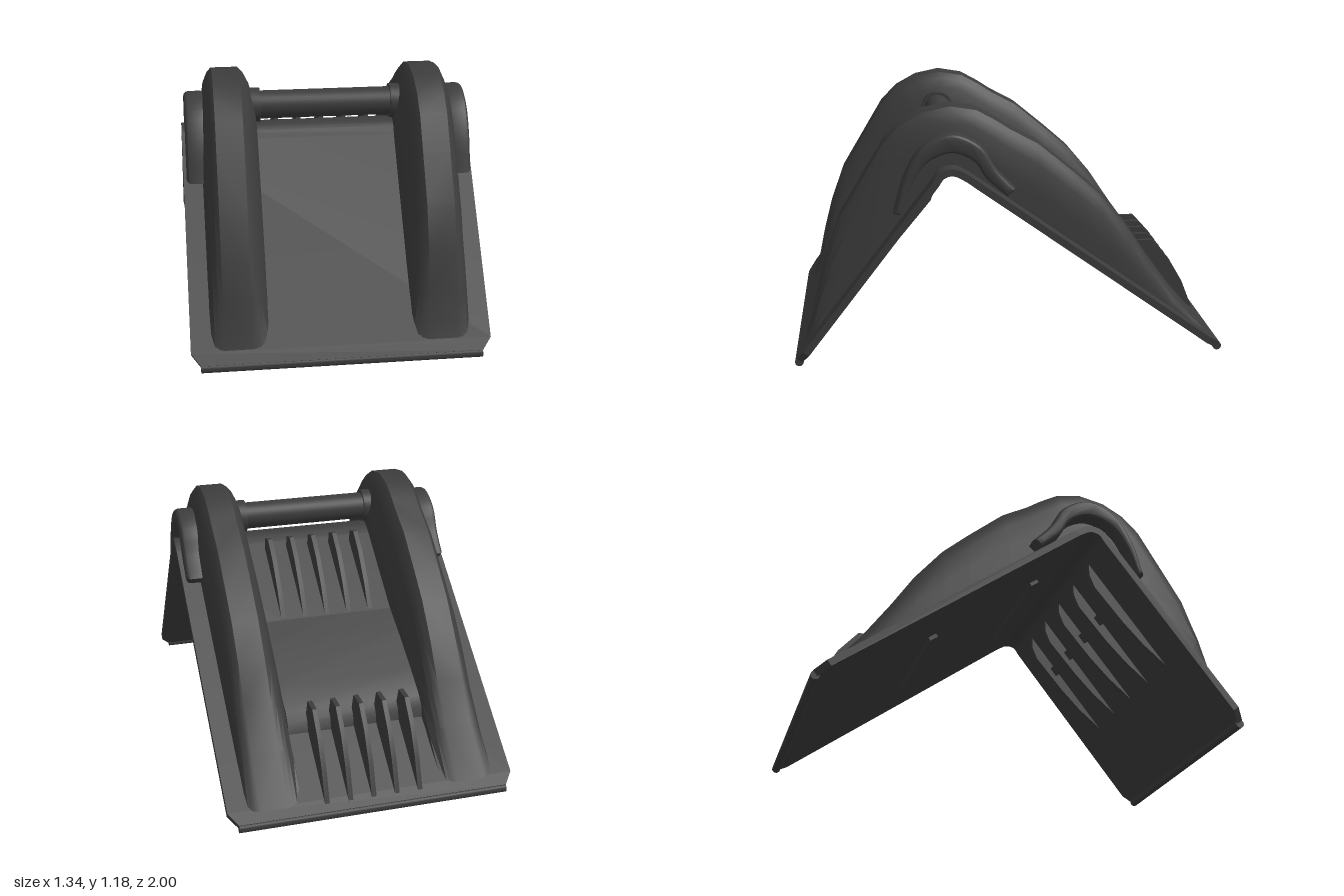
import * as THREE from 'three';
import { toCreasedNormals } from 'three/addons/utils/BufferGeometryUtils.js';

const plastic = new THREE.MeshStandardMaterial({ color: 0x3c3c3c });
plastic.name = 'charcoal plastic';

// Skins a list of rings (arrays of [x, y, z]) and caps both ends
function loft(rings, crease = 0.5) {
  const n = rings[0].length, pos = rings.flat(2), idx = [];
  for (let i = 0; i < rings.length - 1; i++) {
    for (let j = 0; j < n; j++) {
      const k = (j + 1) % n, a = i * n, b = a + n;
      idx.push(a + j, a + k, b + k, a + j, b + k, b + j);
    }
  }
  const last = (rings.length - 1) * n;
  for (let j = 1; j < n - 1; j++) {
    idx.push(0, j + 1, j);
    idx.push(last, last + j, last + j + 1);
  }
  // Signed volume tells whether the faces point outwards
  let volume = 0;
  const point = (i) => new THREE.Vector3().fromArray(pos, i * 3);
  for (let i = 0; i < idx.length; i += 3) {
    volume += point(idx[i]).dot(point(idx[i + 1]).cross(point(idx[i + 2])));
  }
  if (volume < 0) idx.reverse();
  const g = new THREE.BufferGeometry();
  g.setAttribute('position', new THREE.Float32BufferAttribute(pos, 3));
  g.setIndex(idx);
  return toCreasedNormals(g, crease);
}

// Extrudes a [z, y] outline to a plate of the given width, centred on x = 0
function sidePlate(points, width, bevel = 0) {
  const shape = new THREE.Shape(points.map(([z, y]) => new THREE.Vector2(z, y)));
  const depth = width - 2 * bevel;
  const g = new THREE.ExtrudeGeometry(shape, {
    depth, bevelEnabled: bevel > 0, bevelThickness: bevel, bevelSize: bevel, bevelOffset: -bevel, bevelSegments: 3,
  });
  g.translate(0, 0, -depth / 2);
  g.rotateY(-Math.PI / 2);
  return toCreasedNormals(g, 0.5);
}

export function createModel() {
  const model = new THREE.Group();
  model.name = 'cornerProtector';
  const add = (name, geometry, x = 0, y = 0, z = 0) => {
    const mesh = new THREE.Mesh(geometry, plastic);
    mesh.name = name;
    mesh.position.set(x, y, z);
    model.add(mesh);
    return mesh;
  };
  const bar = (name, radius, length, x, y, z, sides = 32) =>
    add(name, toCreasedNormals(new THREE.CylinderGeometry(radius, radius, length, sides).rotateZ(Math.PI / 2), 0.6), x, y, z);

  // Bent sheet: centre line as [z, y, half width], rounded over the apex
  const line = [[0.98, 0.03, 0.63], [0.945, 0.076, 0.672], [0.345, 0.857, 0.672]];
  for (let i = 1; i < 8; i++) {
    const a = 0.65 + (i / 8) * 1.55;
    line.push([0.272 + 0.078 * Math.cos(a), 0.832 + 0.078 * Math.sin(a), 0.672]);
  }
  line.push([0.2, 0.88, 0.672], [-0.93, 0.066, 0.672], [-0.98, 0.03, 0.63]);
  add('sheet', loft(line.map(([z, y, w], i) => {
    const p = line[Math.max(i - 1, 0)], q = line[Math.min(i + 1, line.length - 1)];
    const dz = q[0] - p[0], dy = q[1] - p[1], s = 0.016 / Math.hypot(dz, dy);
    const nz = dy * s, ny = -dz * s;
    return [[w, y + ny, z + nz], [-w, y + ny, z + nz], [-w, y - ny, z - nz], [w, y - ny, z - nz]];
  })));
  for (const z of [0.98, -0.98]) bar('edgeBead', 0.02, 1.26, 0, 0.022, z, 16);

  // Arched shoulders: [top z, top y, base z, base y] along the bend
  const stations = [
    [0.965, 0.062, 0.96, 0.05], [0.925, 0.17, 0.9, 0.13], [0.895, 0.31, 0.83, 0.225],
    [0.85, 0.48, 0.75, 0.33], [0.78, 0.67, 0.65, 0.46], [0.66, 0.87, 0.53, 0.62],
    [0.57, 1.02, 0.43, 0.75], [0.49, 1.1, 0.36, 0.84], [0.39, 1.155, 0.32, 0.89],
    [0.27, 1.18, 0.27, 0.905], [0.15, 1.16, 0.22, 0.89], [0.06, 1.11, 0.14, 0.837],
    [0, 1.07, 0.04, 0.765], [-0.13, 1.0, -0.1, 0.664], [-0.3, 0.86, -0.3, 0.52],
    [-0.42, 0.755, -0.42, 0.433], [-0.55, 0.6, -0.55, 0.34], [-0.65, 0.45, -0.65, 0.268],
    [-0.78, 0.27, -0.78, 0.174], [-0.96, 0.06, -0.96, 0.045],
  ];
  // Shoulder cross-section as [x, fraction of height]
  const section = [[0.32, 0], [0.33, 0.4], [0.355, 0.75], [0.375, 0.9], [0.4, 1],
    [0.525, 1], [0.545, 0.92], [0.565, 0.75], [0.58, 0.4], [0.585, 0]];
  // Raised saddle band on the outer side of each shoulder
  const outer = new THREE.CatmullRomCurve3([[0.535, 0.72], [0.48, 0.9], [0.4, 1.02], [0.27, 1.078], [0.14, 1.02], [0.07, 0.91], [-0.015, 0.82]]
    .map(([z, y]) => new THREE.Vector3(z, y, 0))).getPoints(24);
  const inner = new THREE.CatmullRomCurve3([[0.02, 0.785], [0.12, 0.875], [0.17, 0.95], [0.27, 0.992], [0.38, 0.95], [0.45, 0.85], [0.5, 0.71]]
    .map(([z, y]) => new THREE.Vector3(z, y, 0))).getPoints(24);
  const bandOutline = [...outer, ...inner].map((p) => [p.x, p.y]);
  for (const side of [1, -1]) {
    add(side > 0 ? 'leftShoulder' : 'rightShoulder', loft(stations.map(([tz, ty, bz, by]) =>
      section.map(([x, t]) => [side * x, by + (ty - by) * t, bz + (tz - bz) * t])), 0.45));
    add(side > 0 ? 'leftSaddleBand' : 'rightSaddleBand', sidePlate(bandOutline, 0.1, 0.022), side * 0.608);
    bar('rollerCollar', 0.08, 0.05, side * 0.33, 1.01, 0.285);
  }

  // Roller between the shoulders
  bar('roller', 0.066, 0.64, 0, 1.01, 0.285);

  // Raised wedge panel on the back leg
  add('backPanel', sidePlate([[-0.1, 0.67], [-0.3, 0.56], [-0.5, 0.44], [-0.62, 0.365],
    [-0.655, 0.325], [-0.675, 0.25], [-0.1, 0.66]], 0.65));

  // Leaf-shaped ribs on the back leg and under the front leg
  const upperRib = [[0.17, 0.85], [0.15, 0.93], [0.09, 0.945], [0, 0.87], [-0.1, 0.75], [-0.19, 0.6]];
  const lowerRib = [[-0.61, 0.29], [-0.655, 0.43], [-0.74, 0.43], [-0.83, 0.33], [-0.9, 0.21], [-0.97, 0.035]];
  const innerRib = [[0.335, 0.87], [0.335, 0.79], [0.36, 0.725], [0.5, 0.555], [0.6, 0.45], [0.67, 0.39], [0.76, 0.31]];
  for (let i = -2; i <= 2; i++) {
    add('upperRib', sidePlate(upperRib, 0.022), i * 0.11);
    add('lowerRib', sidePlate(lowerRib, 0.022), i * 0.11);
    add('innerRib', sidePlate(innerRib, 0.026), i * 0.22);
  }

  // Cross bars on the undersides
  add('innerCrossBar', new THREE.BoxGeometry(0.9, 0.05, 0.05), 0, 0.668, 0.473).rotation.x = 0.916;
  for (const [z, y] of [[0.09, 0.785], [-0.41, 0.423]]) {
    add('underBar', new THREE.BoxGeometry(0.64, 0.04, 0.045), 0, y, z).rotation.x = -0.624;
  }
  return model;
}
